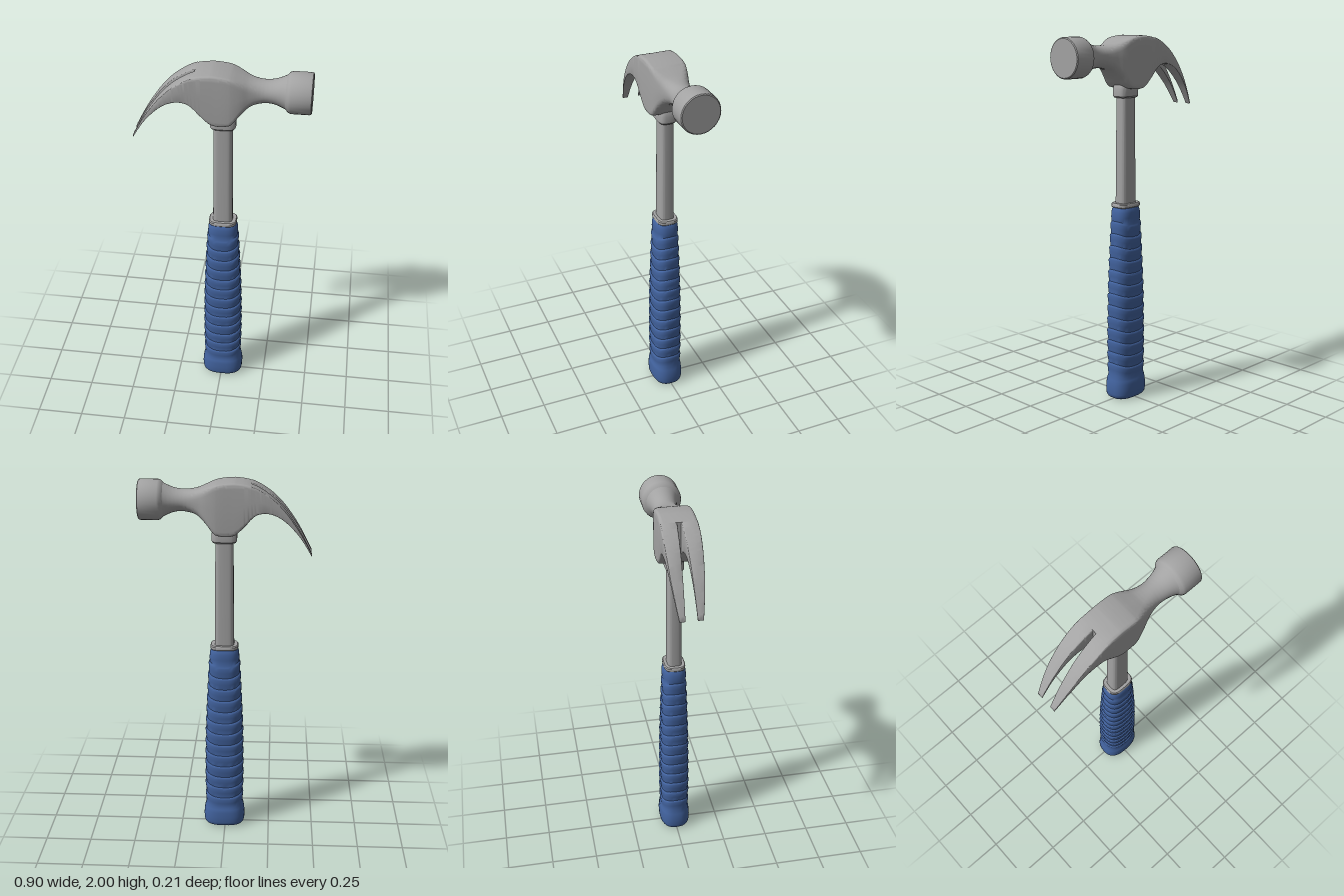
import * as THREE from 'three';
import { toCreasedNormals } from 'three/addons/utils/BufferGeometryUtils.js';

const SEG = 32;

// Skin a list of equal-sized closed rings and cap both ends.
function loft(rings, crease = 0.6) {
  const n = rings[0].length, last = rings.length - 1;
  const pos = [], idx = [];
  rings.forEach(r => r.forEach(p => pos.push(p.x, p.y, p.z)));
  for (let i = 0; i < last; i++) {
    for (let j = 0; j < n; j++) {
      const k = (j + 1) % n;
      const a = i * n + j, b = i * n + k, c = b + n, d = a + n;
      idx.push(a, b, c, a, c, d);
    }
  }
  for (const i of [0, last]) {
    const centre = new THREE.Vector3();
    rings[i].forEach(p => centre.addScaledVector(p, 1 / n));
    const c = pos.length / 3;
    pos.push(centre.x, centre.y, centre.z);
    for (let j = 0; j < n; j++) {
      const a = i * n + j, b = i * n + (j + 1) % n;
      if (i === 0) idx.push(c, b, a);
      else idx.push(c, a, b);
    }
  }
  const g = new THREE.BufferGeometry();
  g.setAttribute('position', new THREE.Float32BufferAttribute(pos, 3));
  g.setIndex(idx);
  return toCreasedNormals(g, crease);
}

// Superellipse ring: power 2 is an ellipse, a high power is nearly a box.
function ring(a, b, power, place) {
  const bend = v => Math.sign(v) * Math.pow(Math.abs(v), 2 / power);
  return Array.from({ length: SEG }, (_, j) => {
    const t = (j / SEG) * Math.PI * 2;
    return place(a * bend(Math.cos(t)), b * bend(Math.sin(t)), t);
  });
}

// Smooth lookup in a table whose first column is the position.
function smoothTable(rows) {
  const f = new THREE.CubicInterpolant(
    rows.map(r => r[0]), rows.flatMap(r => r.slice(1)), rows[0].length - 1);
  return t => Array.from(f.evaluate(t));
}

const spread = (from, to, count) =>
  Array.from({ length: count + 1 }, (_, i) => from + (to - from) * i / count);

const HANDLE_X = 0.005;
const yRing = (y, a, b, power, wave = 0) => ring(a, b, power,
  (u, v, t) => new THREE.Vector3(HANDLE_X + u, y + wave * Math.cos(2 * t), -v));

// Head sections along x: x, top, bottom, half width, squareness
const headAt = smoothTable([
  [-0.45, 1.628, 1.615, 0.06, 14],
  [-0.42, 1.686, 1.668, 0.069, 14],
  [-0.39, 1.74, 1.715, 0.076, 14],
  [-0.36, 1.787, 1.753, 0.082, 14],
  [-0.31, 1.855, 1.803, 0.088, 14],
  [-0.26, 1.908, 1.835, 0.092, 14],
  [-0.2, 1.953, 1.847, 0.095, 14],
  [-0.15, 1.98, 1.83, 0.095, 14],
  [-0.11, 1.992, 1.785, 0.095, 14],
  [-0.06, 1.999, 1.736, 0.095, 14],
  [-0.045, 2.0, 1.727, 0.095, 14],
  [0.04, 1.99, 1.727, 0.095, 14],
  [0.055, 1.986, 1.734, 0.094, 12],
  [0.1, 1.97, 1.785, 0.086, 6],
  [0.14, 1.957, 1.82, 0.074, 3.5],
  [0.2, 1.951, 1.836, 0.063, 2.2],
  [0.26, 1.957, 1.834, 0.067, 2],
  [0.31, 1.977, 1.814, 0.081, 2],
  [0.335, 1.99, 1.8, 0.095, 2],
]);
const SLOT_END = -0.135;

function bodyGeometry() {
  return loft(spread(SLOT_END, 0.335, 70).map(x => {
    const [top, bottom, half, power] = headAt(x);
    return ring((top - bottom) / 2, half, Math.max(2, power),
      (u, v) => new THREE.Vector3(x, (top + bottom) / 2 + u, v));
  }));
}

// One prong, on the side given by the sign
function prongGeometry(side) {
  return loft(spread(-0.45, SLOT_END + 0.002, 40).map(x => {
    const [top, bottom, outer, power] = headAt(x);
    const inner = THREE.MathUtils.mapLinear(x, -0.45, SLOT_END, 0.03, 0.009);
    const mid = side * (outer + inner) / 2;
    return ring((top - bottom) / 2, (outer - inner) / 2, power,
      (u, v) => new THREE.Vector3(x, (top + bottom) / 2 + u, mid + v));
  }));
}

// Round striking face
function faceGeometry() {
  const profile = [[0.3, 0.06], [0.318, 0.085], [0.332, 0.1], [0.345, 0.105],
    [0.437, 0.105], [0.444, 0.103], [0.448, 0.098]];
  return loft(profile.map(([x, r]) => ring(r, r, 2,
    (u, v) => new THREE.Vector3(x, 1.895 + u, v))));
}

// Grip outline: height, half width, half depth
const gripAt = smoothTable([
  [0, 0.094, 0.064], [0.008, 0.107, 0.077], [0.03, 0.115, 0.085],
  [0.09, 0.114, 0.084], [0.13, 0.107, 0.08], [0.3, 0.107, 0.08],
  [0.6, 0.103, 0.077], [0.85, 0.092, 0.07], [1.0, 0.083, 0.064],
  [1.075, 0.075, 0.06], [1.09, 0.066, 0.052],
]);

function gripGeometry() {
  const rings = [];
  const add = (y, grow = 0, wave = 0) => {
    const [a, b] = gripAt(y);
    rings.push(yRing(y, a + grow, b + grow, 2.6, wave));
  };
  [0, 0.004, 0.008, 0.018, 0.03, 0.06, 0.09, 0.11].forEach(y => add(y));
  // Overlapping ribs, each swelling upward to a small ledge
  const pitch = 0.067;
  for (let k = 0; k < 13; k++) {
    for (const [f, grow] of [[0, -0.004], [0.45, 0], [0.82, 0.003], [0.94, 0.001]])
      add(0.13 + (k + f) * pitch, grow, 0.01);
  }
  add(1.003, -0.003, 0.008);
  [1.03, 1.06, 1.075, 1.084, 1.09].forEach(y => add(y));
  return loft(rings, 0.8);
}

const stack = (rows, power) => loft(rows.map(([y, a, b]) => yRing(y, a, b, power)));

export function createModel() {
  const steel = new THREE.MeshStandardMaterial({ color: 0xa3a3a3 });
  steel.name = 'steel grey';
  const rubber = new THREE.MeshStandardMaterial({ color: 0x42639f });
  rubber.name = 'grip blue';

  const model = new THREE.Group();
  model.name = 'clawHammer';
  const add = (parent, name, geometry, material) => {
    const mesh = new THREE.Mesh(geometry, material);
    mesh.name = name;
    parent.add(mesh);
  };

  // Head
  const head = new THREE.Group();
  head.name = 'head';
  model.add(head);
  add(head, 'headBody', bodyGeometry(), steel);
  add(head, 'leftProng', prongGeometry(1), steel);
  add(head, 'rightProng', prongGeometry(-1), steel);
  add(head, 'strikingFace', faceGeometry(), steel);

  // Handle
  add(model, 'socket', stack([[1.675, 0.06, 0.042], [1.683, 0.066, 0.048],
    [1.72, 0.067, 0.049], [1.745, 0.06, 0.045], [1.758, 0.052, 0.038]], 3.5), steel);
  add(model, 'shaft', stack([[1.08, 0.053, 0.039], [1.35, 0.05, 0.037],
    [1.72, 0.047, 0.035]], 4), steel);
  add(model, 'ferrule', stack([[1.084, 0.072, 0.055], [1.088, 0.075, 0.058],
    [1.102, 0.075, 0.058], [1.108, 0.071, 0.054]], 3.5), steel);
  add(model, 'grip', gripGeometry(), rubber);
  return model;
}
